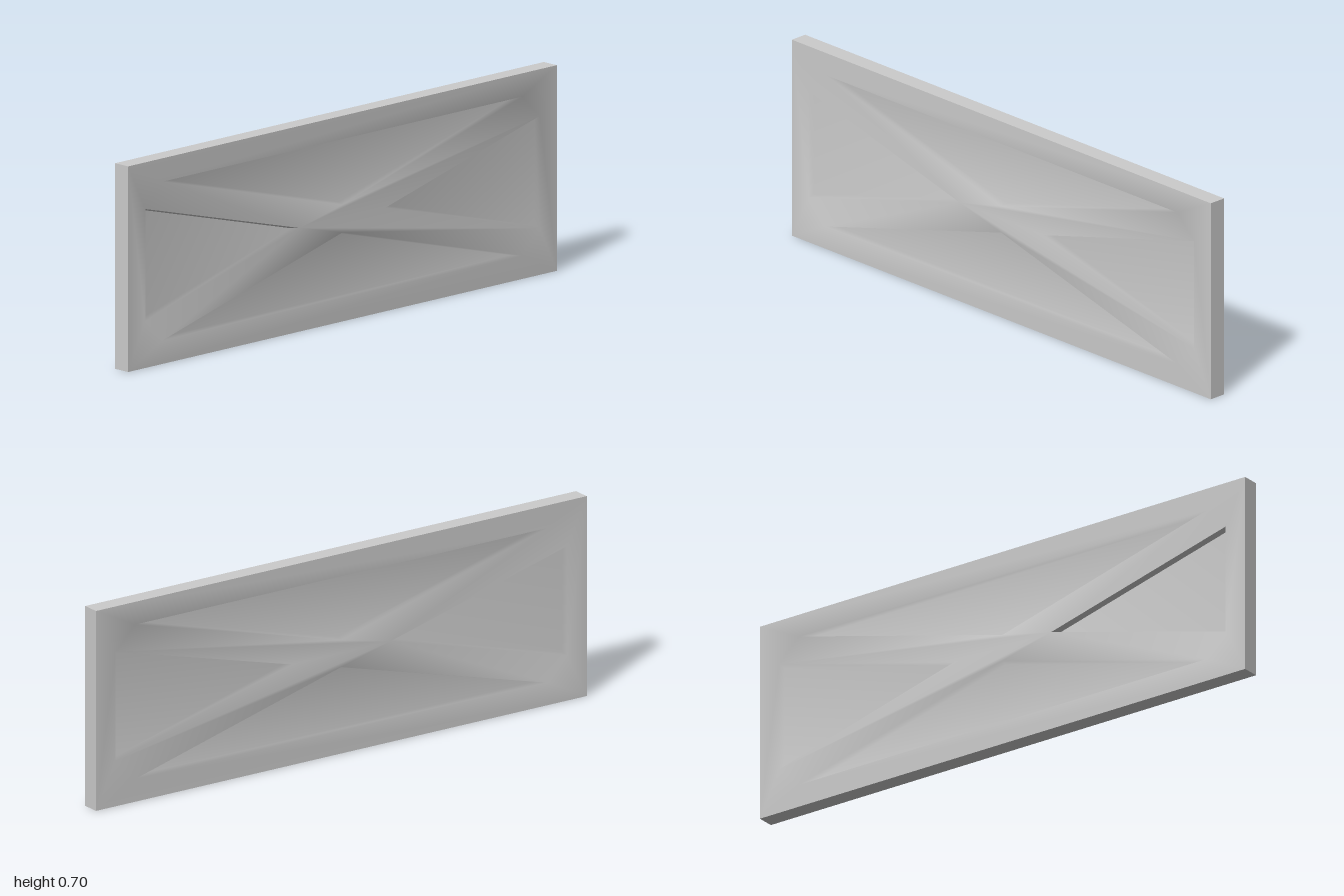
import * as THREE from 'three';
import { mergeGeometries, mergeVertices } from 'three/addons/utils/BufferGeometryUtils.js';

const HEIGHT = 0.705, HALF_DEPTH = 0.031;
const RECESS = 0.02, INSET = 0.006; // depth of the pockets and run of their walls

// Triangular pockets left between the border and the cross brace (counter-clockwise)
const pockets = [
  [[-0.92, 0.545], [-0.92, 0.16], [-0.2, 0.355]],
  [[0.92, 0.16], [0.92, 0.545], [0.2, 0.355]],
  [[-0.84, 0.625], [0, 0.4], [0.84, 0.625]],
  [[-0.84, 0.08], [0.84, 0.08], [0, 0.305]],
].map((tri) => tri.map(([x, y]) => new THREE.Vector2(x, y)));

// Moves all three sides inward by the same distance, by shrinking about the incentre
function insetTriangle(tri, distance) {
  const [a, b, c] = tri;
  const la = b.distanceTo(c), lb = c.distanceTo(a), lc = a.distanceTo(b);
  const perimeter = la + lb + lc;
  const centre = new THREE.Vector2()
    .addScaledVector(a, la / perimeter)
    .addScaledVector(b, lb / perimeter)
    .addScaledVector(c, lc / perimeter);
  const area = Math.abs(b.clone().sub(a).cross(c.clone().sub(a))) / 2;
  const radius = (2 * area) / perimeter;
  return tri.map((p) => p.clone().lerp(centre, distance / radius));
}

function fromTriangles(points) {
  return new THREE.BufferGeometry().setFromPoints(points);
}

// Border and brace in one plane, with softly shaded walls and floors of the pockets
function panelFace() {
  const outline = new THREE.Shape([
    new THREE.Vector2(-1, 0), new THREE.Vector2(1, 0),
    new THREE.Vector2(1, HEIGHT), new THREE.Vector2(-1, HEIGHT),
  ]);
  outline.holes = pockets.map((tri) => new THREE.Path(tri));
  const frame = new THREE.ShapeGeometry(outline).toNonIndexed();
  frame.deleteAttribute('uv');
  frame.deleteAttribute('normal');
  frame.translate(0, 0, HALF_DEPTH);

  const soft = [], crisp = [];
  pockets.forEach((tri, n) => {
    const rim = tri.map((p) => new THREE.Vector3(p.x, p.y, HALF_DEPTH));
    const floor = insetTriangle(tri, INSET).map((p) => new THREE.Vector3(p.x, p.y, HALF_DEPTH - RECESS));
    soft.push(...floor);
    for (let i = 0; i < 3; i++) {
      const j = (i + 1) % 3;
      // The upper wall of the first pocket keeps hard edges
      const target = n === 0 && i === 2 ? crisp : soft;
      target.push(rim[i], rim[j], floor[j], rim[i], floor[j], floor[i]);
    }
  });

  const parts = [mergeGeometries([frame, fromTriangles(soft)]), fromTriangles(crisp)].map((g) => {
    const welded = mergeVertices(g);
    welded.computeVertexNormals();
    return welded;
  });
  return mergeGeometries(parts);
}

// Mirrors a geometry front to back and restores its winding
function mirrorZ(geometry) {
  const mirrored = geometry.clone().scale(1, 1, -1);
  const index = mirrored.index.array;
  for (let i = 0; i < index.length; i += 3) {
    [index[i + 1], index[i + 2]] = [index[i + 2], index[i + 1]];
  }
  return mirrored;
}

// The four flat edges around the panel
function rimGeometry() {
  const edges = [];
  for (const side of [1, -1]) {
    edges.push(new THREE.PlaneGeometry(2 * HALF_DEPTH, HEIGHT).rotateY(side * Math.PI / 2).translate(side, HEIGHT / 2, 0));
    edges.push(new THREE.PlaneGeometry(2, 2 * HALF_DEPTH).rotateX(-side * Math.PI / 2).translate(0, side > 0 ? HEIGHT : 0, 0));
  }
  return mergeGeometries(edges);
}

export function createModel() {
  const group = new THREE.Group();
  group.name = 'crossBracedPanel';
  const material = new THREE.MeshStandardMaterial({ color: 0xcccccc });
  const add = (name, geometry) => {
    const mesh = new THREE.Mesh(geometry, material);
    mesh.name = name;
    group.add(mesh);
  };

  const face = panelFace();
  add('frontFace', face);
  add('backFace', mirrorZ(face));
  add('outerEdges', rimGeometry());
  return group;
}
